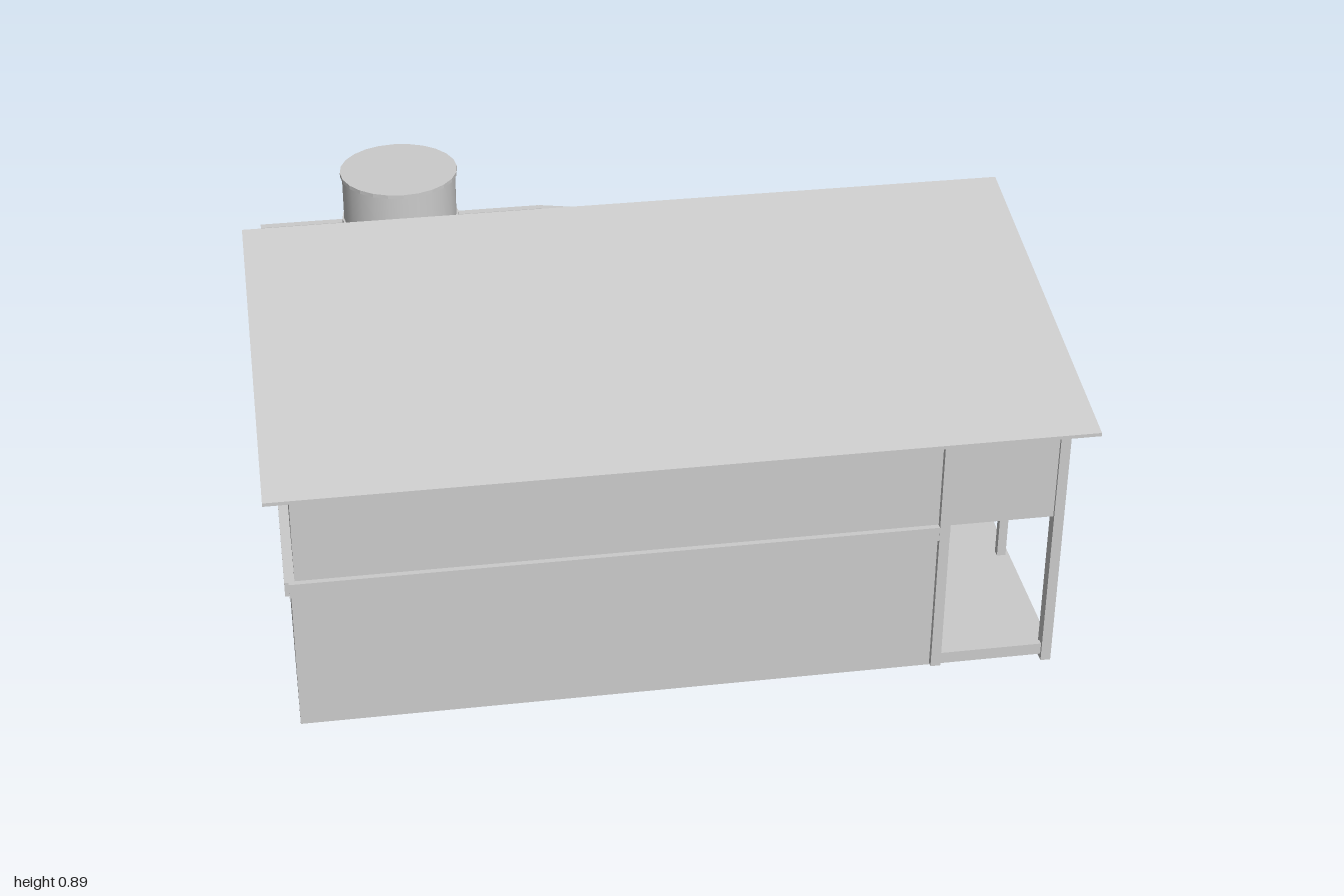
import * as THREE from 'three';

const grey = new THREE.MeshStandardMaterial({ color: 0xcccccc, flatShading: true, side: THREE.DoubleSide });
const smooth = new THREE.MeshStandardMaterial({ color: 0xcccccc, side: THREE.DoubleSide });

function add(parent, name, geo, x = 0, y = 0, z = 0, mat = grey) {
  const m = new THREE.Mesh(geo, mat);
  m.name = name;
  m.position.set(x, y, z);
  parent.add(m);
  return m;
}

// Box given by its limits on each axis
function box(parent, name, x0, x1, y0, y1, z0, z1) {
  return add(parent, name, new THREE.BoxGeometry(x1 - x0, y1 - y0, z1 - z0),
    (x0 + x1) / 2, (y0 + y1) / 2, (z0 + z1) / 2);
}

function shapeOf(pts) {
  return new THREE.Shape(pts.map(p => new THREE.Vector2(p[0], p[1])));
}

// Horizontal slab from a plan outline of [x, z] points
function slab(parent, name, plan, y0, y1) {
  const geo = new THREE.ExtrudeGeometry(shapeOf(plan.map(([x, z]) => [x, -z])), { depth: y1 - y0, bevelEnabled: false });
  geo.rotateX(-Math.PI / 2);
  return add(parent, name, geo, 0, y0, 0);
}

// Group whose local z points out of the wall running from p to q
function wallFrame(parent, name, p, q) {
  const dx = q[0] - p[0], dz = q[1] - p[1];
  const g = new THREE.Group();
  g.name = name;
  g.position.set((p[0] + q[0]) / 2, 0, (p[1] + q[1]) / 2);
  g.rotation.y = Math.atan2(dz, -dx);
  parent.add(g);
  return { g, len: Math.hypot(dx, dz) };
}

// Window with frame, lintel, sill and glazing bars
function addWindow(parent, cx, y0, y1, w, cols, rows) {
  const g = new THREE.Group();
  g.name = 'window';
  g.position.x = cx;
  parent.add(g);
  const h = w / 2, f = 0.018;
  box(g, 'pane', -h, h, y0, y1, 0, 0.003);
  for (const s of [-1, 1]) box(g, 'jamb', s * h - f / 2, s * h + f / 2, y0, y1, 0, 0.015);
  box(g, 'lintel', -h - 0.02, h + 0.02, y1 - 0.025, y1, 0, 0.022);
  box(g, 'sill', -h - 0.012, h + 0.012, y0, y0 + 0.018, 0, 0.02);
  for (let i = 1; i < cols; i++) {
    const x = -h + w * i / cols;
    box(g, 'verticalBar', x - 0.005, x + 0.005, y0, y1, 0, 0.01);
  }
  for (let i = 1; i < rows; i++) {
    const y = y0 + 0.018 + (y1 - y0 - 0.043) * i / rows;
    box(g, 'horizontalBar', -h, h, y - 0.005, y + 0.005, 0, 0.01);
  }
}

// Wall with a doorway and two scalloped swing doors
function addDoorway(g, len) {
  const h = len / 2, d = 0.135, top = 0.36;
  for (const s of [-1, 1]) {
    box(g, 'doorSideWall', s > 0 ? d : -h, s > 0 ? h : -d, 0.03, 0.4, -0.02, 0);
    box(g, 'doorJamb', s * d - 0.015, s * d + 0.015, 0.04, top, -0.025, 0.018);
    const leaf = new THREE.Shape();
    leaf.moveTo(s * 0.003, 0.09);
    leaf.lineTo(s * 0.003, 0.255);
    leaf.lineTo(s * 0.05, 0.255);
    leaf.bezierCurveTo(s * 0.08, 0.25, s * 0.09, 0.225, s * 0.12, 0.225);
    leaf.lineTo(s * 0.12, 0.12);
    leaf.bezierCurveTo(s * 0.09, 0.12, s * 0.08, 0.092, s * 0.05, 0.09);
    add(g, 'swingDoor', new THREE.ExtrudeGeometry(leaf, { depth: 0.01, bevelEnabled: false, curveSegments: 6 }), 0, 0, -0.015);
  }
  box(g, 'doorHeaderWall', -d, d, top - 0.01, 0.4, -0.02, 0);
  box(g, 'doorLintel', -d - 0.03, d + 0.03, top - 0.02, top + 0.01, 0, 0.022);
}

function addRailing(g, len) {
  const h = len / 2, n = Math.max(4, Math.round(len / 0.1));
  box(g, 'topRail', -h, h, 0.525, 0.54, -0.018, 0.004);
  for (let i = 0; i <= n; i++) {
    const x = -h + len * i / n;
    box(g, 'baluster', x - 0.006, x + 0.006, 0.42, 0.53, -0.013, -0.001);
  }
}

// Round tank on a ring of legs
function addTank(parent) {
  const g = new THREE.Group();
  g.name = 'waterTank';
  g.position.set(-0.56, 0, -0.28);
  parent.add(g);
  add(g, 'tankBody', new THREE.CylinderGeometry(0.15, 0.15, 0.29, 24), 0, 0.735, 0, smooth);
  for (const y of [0.597, 0.742, 0.876])
    add(g, 'tankHoop', new THREE.CylinderGeometry(0.155, 0.155, 0.01, 24), 0, y, 0);
  for (const y of [0.45, 0.58]) {
    const ring = add(g, 'standRing', new THREE.TorusGeometry(0.135, 0.008, 5, 8), 0, y, 0);
    ring.rotation.x = Math.PI / 2;
  }
  for (let i = 0; i < 8; i++) {
    const a = i * Math.PI / 4;
    add(g, 'standLeg', new THREE.BoxGeometry(0.015, 0.18, 0.015), 0.135 * Math.cos(a), 0.5, 0.135 * Math.sin(a));
  }
}

export function createModel() {
  const model = new THREE.Group();
  model.name = 'cornerBuilding';

  // Pavement with rounded corner
  slab(model, 'pavement', [[-0.93, 0.93], [0.93, 0.93], [0.945, 0.12], [0.93, 0.03], [0.87, -0.23], [0.78, -0.43],
    [0.65, -0.6], [0.57, -0.68], [0.38, -0.83], [0.2, -0.91], [-0.15, -1], [-0.93, -1]], 0.015, 0.04);

  // Ground floor: faceted front, then the plain sides
  const plan = [[-0.93, -0.68], [-0.14, -0.68], [0.25, -0.575], [0.535, -0.29], [0.635, 0.1], [0.635, 0.93], [-0.93, 0.93]];
  plan.forEach((p, i) => {
    const q = plan[(i + 1) % plan.length];
    const { g, len } = wallFrame(model, 'groundFloorWall', p, q);
    const h = len / 2;
    if (i === 2) addDoorway(g, len);
    else box(g, 'wallPanel', -h, h, 0.02, 0.4, -0.02, 0);
    box(g, 'cornice', -h - 0.004, h + 0.004, 0.392, 0.43, -0.015, 0.014);
    if (i < 4) addRailing(g, len);
    if (i === 0 || i === 1 || i === 3) addWindow(g, 0, 0.11, 0.34, 0.3, 4, 3);
    // Pilasters at both ends of each faceted bay
    if (i < 4) for (const s of [-1, 1])
      box(g, 'pilaster', s * (h - 0.016) - 0.016, s * (h - 0.016) + 0.016, 0.03, 0.395, 0, 0.012);
  });
  slab(model, 'terraceFloor', plan, 0.395, 0.415);
  box(model, 'terraceSideParapet', -0.945, -0.925, 0.42, 0.51, -0.68, 0.1);

  // Upper storey with sloping top, overhanging the porch
  const upper = new THREE.ExtrudeGeometry(shapeOf([[0.93, 0.425], [0.93, 0.68], [0.1, 0.848], [0.1, 0.425]]),
    { depth: 1.84, bevelEnabled: false });
  upper.rotateY(-Math.PI / 2);
  add(model, 'upperStorey', upper, 0.92, 0, 0);
  const back = wallFrame(model, 'upperBackWall', [-0.92, 0.1], [0.92, 0.1]).g;
  for (const x of [0.78, 0.39, -0.17, -0.7]) addWindow(back, -x, 0.53, 0.74, 0.12, 2, 3);

  // Sloping roof
  const roof = new THREE.ExtrudeGeometry(shapeOf([[1, 0.688], [1, 0.697], [0.03, 0.893], [0.03, 0.884]]),
    { depth: 1.96, bevelEnabled: false });
  roof.rotateY(-Math.PI / 2);
  add(model, 'roof', roof, 0.98, 0, 0);

  // Porch posts and wall battens
  box(model, 'porchFrontPost', 0.905, 0.93, 0, 0.695, 0.905, 0.937);
  box(model, 'porchMiddlePost', 0.905, 0.928, 0.02, 0.43, 0.51, 0.53);
  box(model, 'porchBackPost', 0.905, 0.93, 0, 0.862, 0.095, 0.13);
  box(model, 'frontBatten', 0.62, 0.645, 0.02, 0.69, 0.925, 0.945);
  box(model, 'backBatten', 0.61, 0.635, 0.42, 0.85, 0.085, 0.105);
  box(model, 'porchSill', 0.64, 0.92, 0.03, 0.046, 0.915, 0.93);

  addTank(model);
  return model;
}
